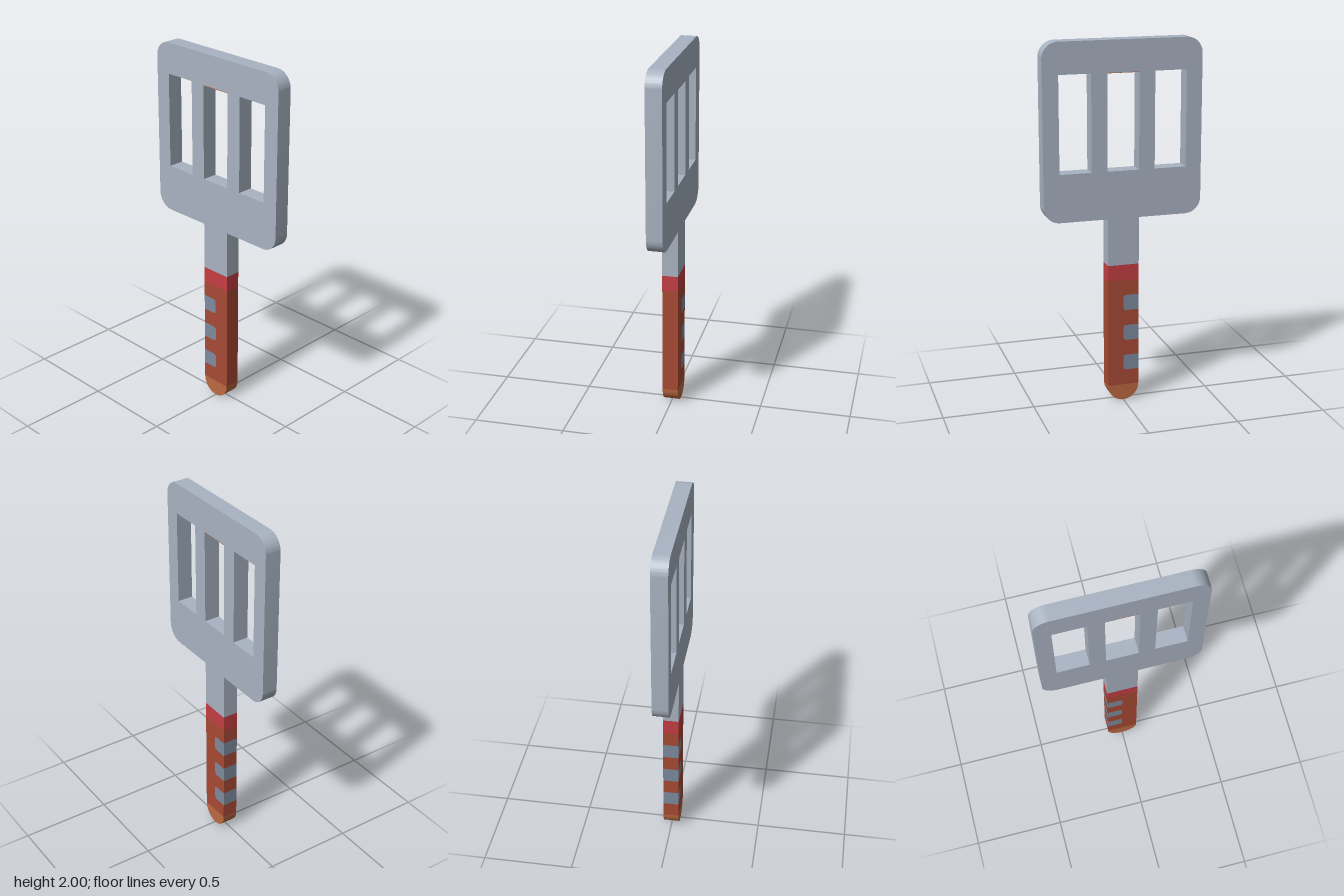
import * as THREE from 'three';
import { toCreasedNormals } from 'three/addons/utils/BufferGeometryUtils.js';

const U = 0.087;       // base module: half the handle width
const DEPTH = 0.087;   // thickness of the whole tool
const BLADE_Y = 1.046, BAND_TOP = 0.785, BAND_Y = 0.697, TIP_Y = 0.09;
const SLOT_Y0 = 1.307, SLOT_Y1 = 1.83;

function material(name, color) {
  const m = new THREE.MeshStandardMaterial({ color });
  m.name = name;
  return m;
}

// Extrudes a front outline evenly about z = 0, smooth on curves and sharp on edges
function slab(name, shape, mat) {
  const geo = new THREE.ExtrudeGeometry(shape, { depth: DEPTH, bevelEnabled: false, curveSegments: 10 });
  geo.translate(0, 0, -DEPTH / 2);
  const mesh = new THREE.Mesh(toCreasedNormals(geo, 0.6), mat);
  mesh.name = name;
  return mesh;
}

function rectPath(path, x0, x1, y0, y1) {
  path.moveTo(x0, y0);
  path.lineTo(x1, y0);
  path.lineTo(x1, y1);
  path.lineTo(x0, y1);
  path.closePath();
  return path;
}

export function createModel() {
  const model = new THREE.Group();
  model.name = 'spatula';
  const steel = material('steel', 0xa9b3c2);
  const red = material('red', 0xc43e43);
  const rust = material('rust', 0xa84a34);
  const copper = material('copper', 0xbc6a41);
  const slate = material('slate', 0x7d8b9e);

  // Blade with rounded corners and the neck, in one outline
  const W = 5 * U, R = U;
  const blade = new THREE.Shape();
  blade.moveTo(-U, BAND_TOP);
  blade.lineTo(U, BAND_TOP);
  blade.lineTo(U, BLADE_Y);
  blade.lineTo(W - R, BLADE_Y);
  blade.absarc(W - R, BLADE_Y + R, R, -Math.PI / 2, 0);
  blade.absarc(W - R, 2 - R, R, 0, Math.PI / 2);
  blade.absarc(-W + R, 2 - R, R, Math.PI / 2, Math.PI);
  blade.absarc(-W + R, BLADE_Y + R, R, Math.PI, 1.5 * Math.PI);
  blade.lineTo(-U, BLADE_Y);
  blade.closePath();

  // Three slots
  for (const x of [-3 * U, 0, 3 * U]) {
    blade.holes.push(rectPath(new THREE.Path(), x - U, x + U, SLOT_Y0, SLOT_Y1));
  }
  model.add(slab('blade', blade, steel));

  // Copper lining under the top of the middle slot
  const lining = new THREE.Mesh(new THREE.BoxGeometry(2 * U, 0.003, DEPTH), copper);
  lining.name = 'slotLining';
  lining.position.y = SLOT_Y1 - 0.0015;
  model.add(lining);

  // Red band between neck and grip
  model.add(slab('band', rectPath(new THREE.Shape(), -U, U, BAND_Y, BAND_TOP), red));

  // Grip, notched on one edge for flush finger inlays
  const r = 0.017, H = 0.087;
  const inlayBottoms = [0.525, 0.351, 0.177];
  const grip = new THREE.Shape();
  grip.moveTo(-U, TIP_Y);
  grip.lineTo(U, TIP_Y);
  grip.lineTo(U, BAND_Y);
  grip.lineTo(-U, BAND_Y);
  for (const y of inlayBottoms) {
    grip.lineTo(-U, y + H);
    grip.lineTo(-r, y + H);
    grip.absarc(-r, y + H - r, r, Math.PI / 2, 0, true);
    grip.absarc(-r, y + r, r, 0, -Math.PI / 2, true);
    grip.lineTo(-U, y);

    const inlay = new THREE.Shape();
    inlay.moveTo(-U, y);
    inlay.lineTo(-r, y);
    inlay.absarc(-r, y + r, r, -Math.PI / 2, 0);
    inlay.absarc(-r, y + H - r, r, 0, Math.PI / 2);
    inlay.lineTo(-U, y + H);
    inlay.closePath();
    model.add(slab('fingerInlay', inlay, slate));
  }
  grip.closePath();
  model.add(slab('grip', grip, rust));

  // Rounded handle end
  const tip = new THREE.Shape();
  tip.moveTo(U, TIP_Y);
  tip.lineTo(-U, TIP_Y);
  tip.absellipse(0, TIP_Y, U, TIP_Y, Math.PI, 2 * Math.PI);
  model.add(slab('handleTip', tip, copper));

  return model;
}
